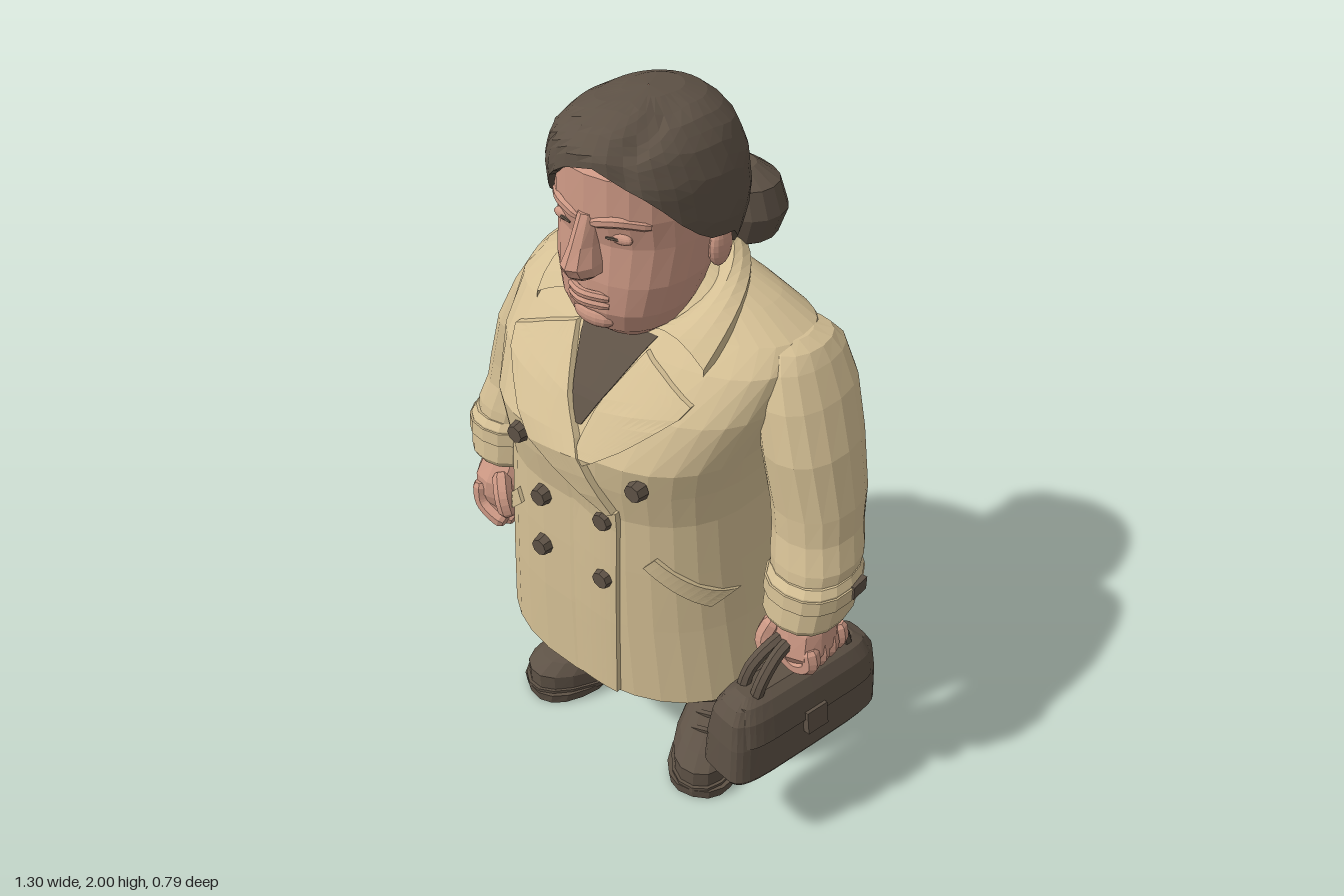
import * as THREE from 'three';

const mat = (name, color, side = THREE.DoubleSide) => {
  const m = new THREE.MeshStandardMaterial({ color, side });
  m.name = name;
  return m;
};
const coat = mat('coat cream', 0xd4bf94);
const skin = mat('skin', 0xcc9884);
const dark = mat('dark brown', 0x5e5246);

const lerp = THREE.MathUtils.lerp, clamp = THREE.MathUtils.clamp;

// Linear lookup in rows sorted by their first number
function lookup(rows, y) {
  if (y <= rows[0][0]) return rows[0];
  for (let i = 1; i < rows.length; i++) {
    if (y <= rows[i][0]) {
      const a = rows[i - 1], b = rows[i], t = (y - a[0]) / (b[0] - a[0]);
      return a.map((v, k) => lerp(v, b[k], t));
    }
  }
  return rows[rows.length - 1];
}

// Faceted surface from a rule (u to the right, v up, seen from outside)
function grid(nu, nv, fn) {
  const pos = [], idx = [];
  for (let j = 0; j <= nv; j++) for (let i = 0; i <= nu; i++) pos.push(...fn(i / nu, j / nv));
  for (let j = 0; j < nv; j++) for (let i = 0; i < nu; i++) {
    const a = j * (nu + 1) + i, c = a + nu + 1;
    idx.push(a, a + 1, c + 1, a, c + 1, c);
  }
  const g = new THREE.BufferGeometry();
  g.setAttribute('position', new THREE.Float32BufferAttribute(pos, 3));
  g.setIndex(idx);
  return flatten(g);
}
function flatten(g) {
  const f = g.index ? g.toNonIndexed() : g;
  f.computeVertexNormals();
  return f;
}

// Point on a horizontal superellipse ring; section = [y, centreX, radiusX, backZ, frontZ, own power]
function ringPoint(sec, angle, p, k = 1) {
  const [y, cx, rx, b, f, own = p] = sec;
  const s = Math.sin(angle), c = Math.cos(angle), e = 2 / own;
  return [cx + k * rx * Math.sign(s) * Math.abs(s) ** e, y,
    (b + f) / 2 + k * (f - b) / 2 * Math.sign(c) * Math.abs(c) ** e];
}
// Stacked rings, listed bottom to top, closed at the chosen ends
function loft(secs, n = 16, p = 2, capBottom = true) {
  const rows = secs.map(s => [s, 1]);
  if (capBottom) rows.unshift([secs[0], 0]);
  rows.push([secs[secs.length - 1], 0]);
  const last = rows.length - 1;
  return grid(n, last, (u, v) => {
    const [s, k] = rows[Math.round(v * last)];
    return ringPoint(s, u * Math.PI * 2, p, k);
  });
}
// Depth of a lofted surface at x, y
function depth(secs, p, x, y, side = 1) {
  const [, cx, rx, b, f, own = p] = lookup(secs, y);
  const u = Math.min(1, Math.abs((x - cx) / rx));
  return (b + f) / 2 + side * (f - b) / 2 * (1 - u ** own) ** (1 / own);
}
const along = (pts, t) => lookup(pts.map((q, i) => [i / (pts.length - 1), ...q]), t).slice(1);
// Thin raised panel laid on a lofted surface between two edges (bottom to top)
function panel(secs, p, left, right, [offLeft, offRight], side = 1) {
  const n = 12;
  const inner = t => clamp((t * n - 1) / (n - 2), 0, 1);
  return grid(n, n, (u, v) => {
    const l = along(left, inner(v)), r = along(right, inner(v)), k = inner(u);
    const x = lerp(l[0], r[0], k), y = lerp(l[1], r[1], k);
    const rim = u === 0 || u === 1 || v === 0 || v === 1;
    return [x, y, depth(secs, p, x, y, side) + side * (rim ? -0.004 : lerp(offLeft, offRight, k))];
  });
}
// Rounded rod through points
function rod(pts, r, n = 7) {
  const c = new THREE.CatmullRomCurve3(pts.map(q => new THREE.Vector3(...q)));
  const segs = pts.length * 3, fr = c.computeFrenetFrames(segs);
  return grid(n, segs + 2, (u, v) => {
    const j = Math.round(v * (segs + 2)), i = clamp(j - 1, 0, segs);
    const k = j === 0 || j === segs + 2 ? 0 : (i === 0 || i === segs ? 0.7 * r : r), a = u * Math.PI * 2;
    const q = c.getPointAt(i / segs).addScaledVector(fr.normals[i], k * Math.cos(a)).addScaledVector(fr.binormals[i], k * Math.sin(a));
    return [q.x, q.y, q.z];
  });
}
const blob = (x, y, z, sx, sy, sz) => flatten(new THREE.SphereGeometry(1, 16, 11).scale(sx, sy, sz).translate(x, y, z));
function add(parent, name, geo, material) {
  const m = new THREE.Mesh(geo, material);
  m.name = name;
  parent.add(m);
}

const BODY = [[0.4, -0.01, 0.425, -0.385, 0.36, 2.4], [0.65, -0.015, 0.395, -0.345, 0.36, 2.4], [0.84, -0.015, 0.375, -0.31, 0.355, 2.45],
  [1, -0.015, 0.362, -0.29, 0.348, 2.5], [1.1, -0.015, 0.368, -0.3, 0.365, 2.5], [1.18, -0.015, 0.38, -0.312, 0.37, 2.6], [1.3, -0.012, 0.41, -0.308, 0.29, 2.8],
  [1.4, -0.01, 0.42, -0.268, 0.185, 2.8], [1.45, -0.01, 0.395, -0.24, 0.11, 2.6], [1.5, -0.01, 0.295, -0.21, 0.07, 2.4], [1.55, -0.01, 0.18, -0.17, 0.04, 2.3], [1.58, -0.01, 0.1, -0.12, 0.02, 2.3]];
const FACE = [[1.425, -0.02, 0.09, 0.01, 0.185], [1.465, -0.02, 0.135, -0.04, 0.232], [1.52, -0.02, 0.162, -0.07, 0.252],
  [1.6, -0.02, 0.183, -0.1, 0.252], [1.7, -0.02, 0.19, -0.14, 0.242], [1.77, -0.02, 0.19, -0.16, 0.256], [1.87, -0.02, 0.185, -0.17, 0.25], [1.94, -0.02, 0.12, -0.12, 0.17]];
const HAIR = [[1.53, -0.025, 0.15, -0.13, 0.16], [1.63, -0.025, 0.21, -0.19, 0.215], [1.74, -0.025, 0.232, -0.22, 0.248], [1.85, -0.025, 0.22, -0.212, 0.268],
  [1.92, -0.025, 0.187, -0.185, 0.262], [1.965, -0.025, 0.14, -0.145, 0.22], [1.99, -0.025, 0.08, -0.08, 0.14], [2, -0.025, 0.001, 0.02, 0.022]];
const HAIRLINE = [[0, 1.9], [0.35, 1.875], [0.65, 1.825], [0.95, 1.75], [1.2, 1.705], [1.6, 1.68], [1.95, 1.61], [2.4, 1.57], [3.15, 1.53]];

function buildCoat(g) {
  add(g, 'coatBody', loft(BODY, 32, 2.3, false), coat);
  const P = (name, l, r, off, m = coat, side = 1) => add(g, name, panel(BODY, 2.3, l, r, off, side), m);
  P('shirtFront', [[0, 1.24], [-0.06, 1.33], [-0.12, 1.43]], [[0.02, 1.24], [0.06, 1.33], [0.1, 1.43]], [0.005, 0.005], dark);
  P('frontOverlap', [[-0.03, 0.405], [-0.03, 1.08]], [[0.14, 0.405], [0.14, 1.03]], [-0.003, 0.013]);
  P('leftLapel', [[0.04, 1.16], [0.035, 1.22], [0.05, 1.3], [0.1, 1.41]], [[0.06, 1.16], [0.16, 1.23], [0.28, 1.34], [0.17, 1.385]], [0.014, 0.014]);
  P('rightLapel', [[0.12, 1.02], [-0.14, 1.18], [-0.31, 1.34], [-0.2, 1.385]], [[0.135, 1.03], [0.04, 1.2], [-0.03, 1.28], [-0.12, 1.41]], [0.02, 0.02]);
  P('backVent', [[-0.07, 0.405], [-0.03, 0.92]], [[0.1, 0.405], [0.08, 0.92]], [0.014, -0.003], coat, -1);
  for (const s of [-1, 1]) {
    P('pocketWelt', [[s * 0.36, 0.755], [s * 0.23, 0.9]], [[s * 0.335, 0.73], [s * 0.205, 0.87]], [0.01, 0.01]);
  }
  // Collar wrapping the neck
  add(g, 'collar', grid(26, 5, (u, v) => {
    const a = (u * 2 - 1) * 2.55, t = Math.min(1, (1 - v) * 1.25);
    const x = lerp(0.16 * Math.sin(a), 0.275 * Math.sin(a * 0.7), t) - 0.01;
    const y = lerp(1.52 + 0.085 * Math.cos(a), 1.57 - 0.155 * Math.abs(a / 2.55) ** 3.3, t) + 0.025 * Math.sin(Math.PI * t);
    const z = lerp(0.02 - 0.14 * Math.cos(a), 0.02 - 0.235 * Math.cos(a * 0.87), t);
    return [x, y - (v === 0 ? 0.035 : 0), z];
  }), coat);
  // Double row of buttons
  for (const [x, y] of [[-0.17, 1.14], [0.2, 1.13], [-0.11, 0.96], [0.1, 0.99], [-0.11, 0.795], [0.1, 0.8]]) {
    const b = new THREE.CylinderGeometry(0.024, 0.03, 0.03, 8).rotateX(Math.PI / 2);
    add(g, 'button', flatten(b.translate(x, y, depth(BODY, 2.3, x, y) + 0.01)), dark);
  }
  // Skirt hem below the coat, open underneath
  add(g, 'skirt', loft([[0.335, -0.01, 0.4, -0.352, 0.29], [0.43, -0.01, 0.4, -0.35, 0.32], [0.55, -0.01, 0.38, -0.33, 0.32]], 26, 2.3, false), dark);
}

function buildArm(g, s) {
  const R = (y, x, rx, back, front) => [y, s * x, rx, back, front];
  add(g, 'sleeve', loft([R(0.84, 0.525, 0.1, -0.085, 0.145), R(0.91, 0.515, 0.112, -0.115, 0.134), R(0.98, 0.498, 0.106, -0.138, 0.115), R(1.05, 0.485, 0.108, -0.16, 0.11),
    R(1.2, 0.445, 0.107, -0.19, 0.112), R(1.32, 0.4, 0.1, -0.22, 0.09), R(1.4, 0.365, 0.09, -0.215, 0.06), R(1.435, 0.345, 0.085, -0.185, 0.03), R(1.452, 0.32, 0.07, -0.14, 0)], 16, 2.2), coat);
  add(g, 'cuff', loft([R(0.735, 0.525, 0.098, -0.07, 0.16), R(0.755, 0.525, 0.107, -0.08, 0.17), R(0.86, 0.527, 0.112, -0.1, 0.158), R(0.88, 0.525, 0.104, -0.095, 0.143)], 16, 2.3), coat);
  add(g, 'cuffStrap', loft([R(0.815, 0.527, 0.116, -0.096, 0.168), R(0.855, 0.527, 0.116, -0.1, 0.164)], 16, 2.3), coat);
  add(g, 'cuffButton', flatten(new THREE.BoxGeometry(0.016, 0.04, 0.055).translate(s * 0.64, 0.84, 0.005)), dark);
}

function buildHands(g) {
  // Relaxed right hand
  const h = new THREE.Group();
  h.name = 'rightHand';
  add(h, 'palm', loft([[0.57, -0.53, 0.045, 0.03, 0.16], [0.61, -0.535, 0.065, 0.02, 0.17], [0.66, -0.53, 0.08, 0.005, 0.165], [0.71, -0.525, 0.078, -0.005, 0.135], [0.77, -0.52, 0.065, -0.01, 0.1]], 10, 2.5), skin);
  for (let i = 0; i < 4; i++) {
    const z = 0.045 + i * 0.036, d = 0.015 * Math.abs(i - 1.5);
    add(h, 'finger', rod([[-0.565, 0.64, z], [-0.555, 0.575, z + 0.005], [-0.515, 0.525 + d, z + 0.005], [-0.475, 0.51 + d, z]], 0.026), skin);
  }
  add(h, 'thumb', rod([[-0.5, 0.69, 0.13], [-0.46, 0.64, 0.165], [-0.445, 0.585, 0.165]], 0.028), skin);
  // Left hand closed round the bag handle
  const k = new THREE.Group();
  k.name = 'leftHand';
  add(k, 'fist', loft([[0.585, 0.525, 0.06, -0.03, 0.12], [0.63, 0.53, 0.075, -0.045, 0.145], [0.7, 0.525, 0.073, -0.03, 0.13], [0.77, 0.52, 0.065, -0.01, 0.1]], 10, 2.5), skin);
  for (let i = 0; i < 4; i++) {
    const z = -0.02 + i * 0.042;
    add(k, 'finger', rod([[0.575, 0.66, z], [0.583, 0.605, z], [0.545, 0.58, z], [0.5, 0.6, z]], 0.025), skin);
  }
  add(k, 'thumb', rod([[0.465, 0.7, 0.11], [0.455, 0.64, 0.135], [0.49, 0.6, 0.14]], 0.026), skin);
  g.add(h, k);
}

function buildBag(g) {
  const b = new THREE.Group();
  b.name = 'handbag';
  const S = (y, rx, l) => [y, 0, rx, -l, l];
  add(b, 'bagBody', loft([S(0.285, 0.078, 0.25), S(0.305, 0.088, 0.262), S(0.42, 0.082, 0.258), S(0.5, 0.068, 0.25), S(0.535, 0.052, 0.23), S(0.55, 0.032, 0.2)], 28, 5), dark);
  add(b, 'bagFlap', loft([S(0.425, 0.089, 0.235), S(0.5, 0.076, 0.23), S(0.54, 0.056, 0.215), S(0.557, 0.032, 0.19)], 28, 6), dark);
  add(b, 'bagClasp', flatten(new THREE.BoxGeometry(0.02, 0.07, 0.07).rotateZ(0.15).translate(0.09, 0.415, 0)), dark);
  for (const x of [-0.025, 0.025]) {
    add(b, 'bagHandle', rod([[x, 0.53, 0.165], [x, 0.6, 0.135], [x * 0.6, 0.655, 0.06], [x * 0.6, 0.655, -0.06], [x, 0.6, -0.135], [x, 0.53, -0.165]], 0.018), dark);
  }
  b.position.set(0.518, 0, 0.077);
  b.rotation.y = -0.2;
  g.add(b);
}

function buildLeg(g, s) {
  const R = (y, x, rx, z, rz) => [y, s * x - 0.003, rx, z - rz, z + rz];
  add(g, 'leg', loft([R(0.14, 0.19, 0.085, -0.07, 0.085), R(0.22, 0.192, 0.1, -0.06, 0.105), R(0.32, 0.192, 0.128, -0.05, 0.125), R(0.55, 0.195, 0.15, -0.04, 0.14)], 14), dark);
  const shoe = new THREE.Group();
  shoe.name = 'shoe';
  add(shoe, 'upper', loft([[0.03, 0, 0.1, -0.12, 0.31], [0.095, 0, 0.103, -0.115, 0.31], [0.13, 0, 0.092, -0.11, 0.265], [0.165, 0, 0.082, -0.105, 0.16], [0.2, 0, 0.072, -0.1, 0.075]], 18, 2.3), dark);
  add(shoe, 'sole', loft([[0.002, 0, 0.1, 0.06, 0.315], [0.035, 0, 0.108, 0.02, 0.32]], 16, 2.4), dark);
  add(shoe, 'heel', loft([[0, 0, 0.082, -0.12, 0.03], [0.045, 0, 0.09, -0.128, 0.04]], 14, 2.8), dark);
  add(shoe, 'midSole', loft([[0.026, 0, 0.106, -0.128, 0.32], [0.045, 0, 0.108, -0.128, 0.32]], 18, 2.3), dark);
  for (const [y, z] of [[0.155, 0.195], [0.172, 0.15], [0.192, 0.1]]) {
    add(shoe, 'lace', rod([[-0.045, y - 0.012, z - 0.01], [0, y, z], [0.045, y - 0.012, z - 0.01]], 0.01, 5), dark);
  }
  shoe.position.set(s * 0.203, 0, -0.045);
  shoe.rotation.y = s * 0.37;
  g.add(shoe);
}

function buildHead(g) {
  const h = new THREE.Group();
  h.name = 'head';
  add(h, 'neck', loft([[1.36, -0.01, 0.12, -0.1, 0.14], [1.43, -0.01, 0.13, -0.1, 0.165], [1.56, -0.01, 0.13, -0.12, 0.13]], 16), skin);
  add(h, 'face', loft(FACE, 22, 2.3), skin);
  add(h, 'nose', loft([[1.61, -0.02, 0.022, 0.21, 0.285], [1.63, -0.02, 0.046, 0.19, 0.312], [1.655, -0.02, 0.045, 0.19, 0.325], [1.7, -0.02, 0.032, 0.19, 0.3], [1.775, -0.02, 0.026, 0.19, 0.264]], 10), skin);
  const on = (x, y, o = 0) => [x, y, depth(FACE, 2.3, x, y) + o];
  for (const y of [1.566, 1.545]) add(h, 'lip', rod([on(-0.08, y - 0.004, -0.004), on(-0.02, y + 0.002, 0.014), on(0.04, y - 0.004, -0.004)], 0.012), skin);
  add(h, 'chin', blob(-0.02, 1.495, 0.222, 0.065, 0.035, 0.035), skin);
  for (const s of [-1, 1]) {
    const X = x => -0.02 + s * x;
    add(h, 'browRidge', rod([on(X(0.02), 1.755, -0.004), on(X(0.08), 1.772, -0.004), on(X(0.145), 1.762, -0.009)], 0.014), skin);
    add(h, 'eyelid', blob(...on(X(0.083), 1.728, -0.009), 0.036, 0.016, 0.014), skin);
    add(h, 'eyeSlit', rod([on(X(0.055), 1.725, 0.001), on(X(0.083), 1.728, 0.004), on(X(0.11), 1.724, -0.001)], 0.004, 5), dark);
    add(h, 'ear', blob(X(0.19), 1.65, -0.005, 0.023, 0.058, 0.038), skin);
  }
  // Swept-back hair with a side parting, tucked under at the hairline
  add(h, 'hair', grid(36, 12, (u, v) => {
    const a = u * Math.PI * 2, t = Math.max(0, (v * 12 - 1) / 11);
    const low = lookup(HAIRLINE, Math.abs((a > Math.PI ? a - Math.PI * 2 : a) - 0.15))[1];
    const y = lerp(low, 2, 1 - (1 - t) ** 1.6);
    const q = ringPoint(lookup(HAIR, y), a, 2.2, v === 0 ? 0.82 : 1);
    const part = 0.016 * Math.exp(-(((q[0] - 0.08) / 0.025) ** 2)) * clamp(q[2] / 0.15, 0, 1);
    return [q[0], q[1] - part, q[2] - part * 0.6];
  }), dark);
  add(h, 'bun', loft([[1.533, -0.003, 0.11, -0.265, -0.16], [1.57, -0.003, 0.172, -0.315, -0.11], [1.64, -0.003, 0.195, -0.332, -0.1],
    [1.71, -0.003, 0.172, -0.315, -0.11], [1.745, -0.003, 0.11, -0.265, -0.16]], 20, 2.3), dark);
  g.add(h);
}

export function createModel() {
  const g = new THREE.Group();
  g.name = 'womanInCoat';
  buildCoat(g);
  for (const s of [-1, 1]) {
    buildArm(g, s);
    buildLeg(g, s);
  }
  buildHands(g);
  buildBag(g);
  buildHead(g);
  return g;
}
